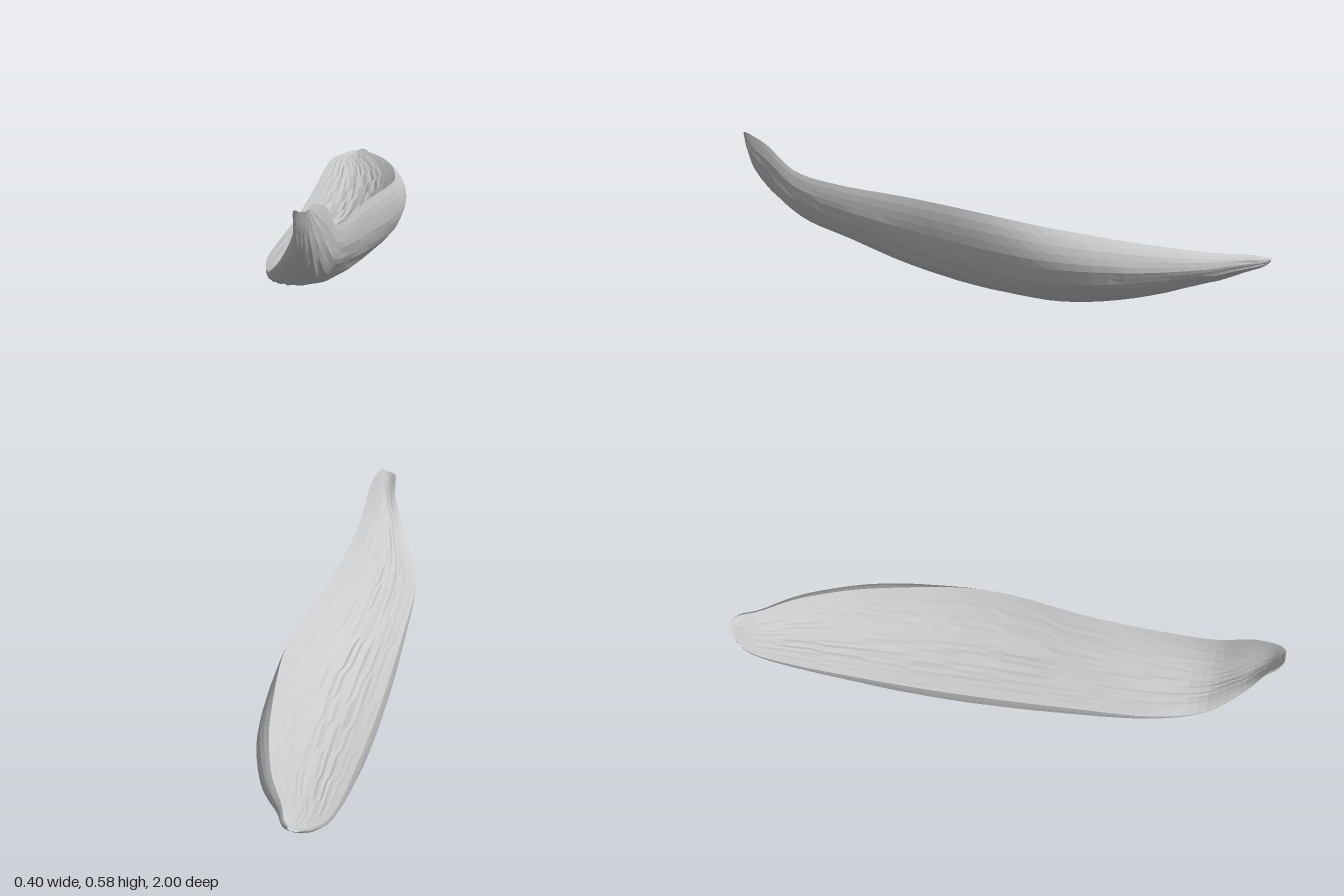
import * as THREE from 'three';

// Stations from the hooked tip to the tail:
// z, low rim x y, keel x y, high side x (widest) y (crest)
const STATIONS = [
  [1, -0.03, 0.562, -0.012, 0.558, 0.006, 0.575],
  [0.985, -0.044, 0.55, -0.016, 0.49, 0.02, 0.578],
  [0.95, -0.05, 0.47, -0.018, 0.412, 0.034, 0.568],
  [0.88, -0.1, 0.362, -0.035, 0.33, 0.05, 0.535],
  [0.76, -0.16, 0.277, -0.06, 0.238, 0.066, 0.445],
  [0.57, -0.195, 0.252, -0.09, 0.166, 0.085, 0.406],
  [0.3, -0.198, 0.225, -0.1, 0.073, 0.115, 0.382],
  [0, -0.195, 0.193, -0.1, 0.016, 0.173, 0.352],
  [-0.25, -0.19, 0.178, -0.09, 0, 0.199, 0.315],
  [-0.5, -0.182, 0.176, -0.07, 0.033, 0.182, 0.28],
  [-0.75, -0.172, 0.186, -0.07, 0.098, 0.105, 0.247],
  [-0.9, -0.155, 0.196, -0.065, 0.15, 0.018, 0.229],
  [-0.97, -0.115, 0.2, -0.065, 0.176, -0.012, 0.222],
  [-1, -0.08, 0.206, -0.06, 0.2, -0.04, 0.216],
];
const ROWS = 60, COLS = 30;

const rail = (k) => new THREE.CatmullRomCurve3(
  STATIONS.map((s) => new THREE.Vector3(s[k], s[k + 1], s[0])), false, 'catmullrom', 0.5);
const lowRim = rail(1), keel = rail(3), highSide = rail(5);

// Repeatable noise from -1 to 1
function noise(a, b) {
  const n = Math.sin(a * 127.1 + b * 311.7) * 43758.5453;
  return 2 * (n - Math.floor(n)) - 1;
}

// Point on the outer husk; u runs from the low rim under the keel to the curled crest
function outerPoint(v, u, i, j) {
  const p = keel.getPoint(v);
  const right = u > 0.5;
  const side = (right ? highSide : lowRim).getPoint(v);
  // The high side rolls over past upright, more so towards the tail
  const curl = Math.PI * (0.7 - 0.11 * THREE.MathUtils.smoothstep(p.z, -0.5, 0.1));
  const a = Math.abs(2 * u - 1) * (right ? curl : Math.PI / 2);
  const e = right ? 1 : 0.7;
  const rise = right
    ? (1 - Math.cos(a)) / (1 - Math.cos(curl))
    : 1 - Math.pow(Math.max(0, Math.cos(a)), e);
  p.x += (side.x - p.x) * Math.pow(Math.sin(a), e);
  p.y += (side.y - p.y) * rise;
  // Lengthwise fibres, fading at the rims and ends
  const fade = Math.sin(Math.PI * u) * Math.min(1, Math.sin(Math.PI * v) * 3);
  const r = 0.002 * fade * (Math.sin(j * 2.3 + v * 9) + noise(j, Math.floor(i / 3)));
  p.x += r * Math.sin(a) * (right ? 1 : -1);
  p.y += 0.002 * fade - r * Math.cos(a);
  return p;
}

// Point on the shallow hollow, sagging between the rim and the crest
function innerPoint(v, t, i, j) {
  const p = outerPoint(v, 0, i, 0).lerp(outerPoint(v, 1, i, COLS), t);
  const sag = 0.22 + 0.23 * THREE.MathUtils.smoothstep(p.z, 0.4, 0.85);
  const bow = Math.sin(Math.PI * t);
  p.y -= bow * sag * Math.max(0, p.y - keel.getPoint(v).y);
  p.y += 0.004 * bow * Math.sin(Math.PI * v) * noise(j + 40, Math.floor(i / 3));
  return p;
}

// Faceted grid from a point rule
function skin(pointAt, flip) {
  const pos = [], index = [], w = COLS + 1;
  for (let i = 0; i <= ROWS; i++) {
    for (let j = 0; j <= COLS; j++) {
      const c = flip ? COLS - j : j;
      pos.push(...pointAt(i / ROWS, c / COLS, i, c).toArray());
      if (i < ROWS && j < COLS) {
        const a = i * w + j, b = a + w;
        index.push(a, b, a + 1, b, b + 1, a + 1);
      }
    }
  }
  const g = new THREE.BufferGeometry();
  g.setAttribute('position', new THREE.Float32BufferAttribute(pos, 3));
  g.setIndex(index);
  const flat = g.toNonIndexed();
  flat.computeVertexNormals();
  return flat;
}

export function createModel() {
  const group = new THREE.Group();
  group.name = 'seedPodHusk';
  const grey = new THREE.MeshStandardMaterial({ color: 0xcccccc });
  grey.name = 'paleGrey';

  const husk = new THREE.Mesh(skin(outerPoint, false), grey);
  husk.name = 'outerHusk';
  const hollow = new THREE.Mesh(skin(innerPoint, true), grey);
  hollow.name = 'innerHollow';
  group.add(husk, hollow);
  return group;
}
